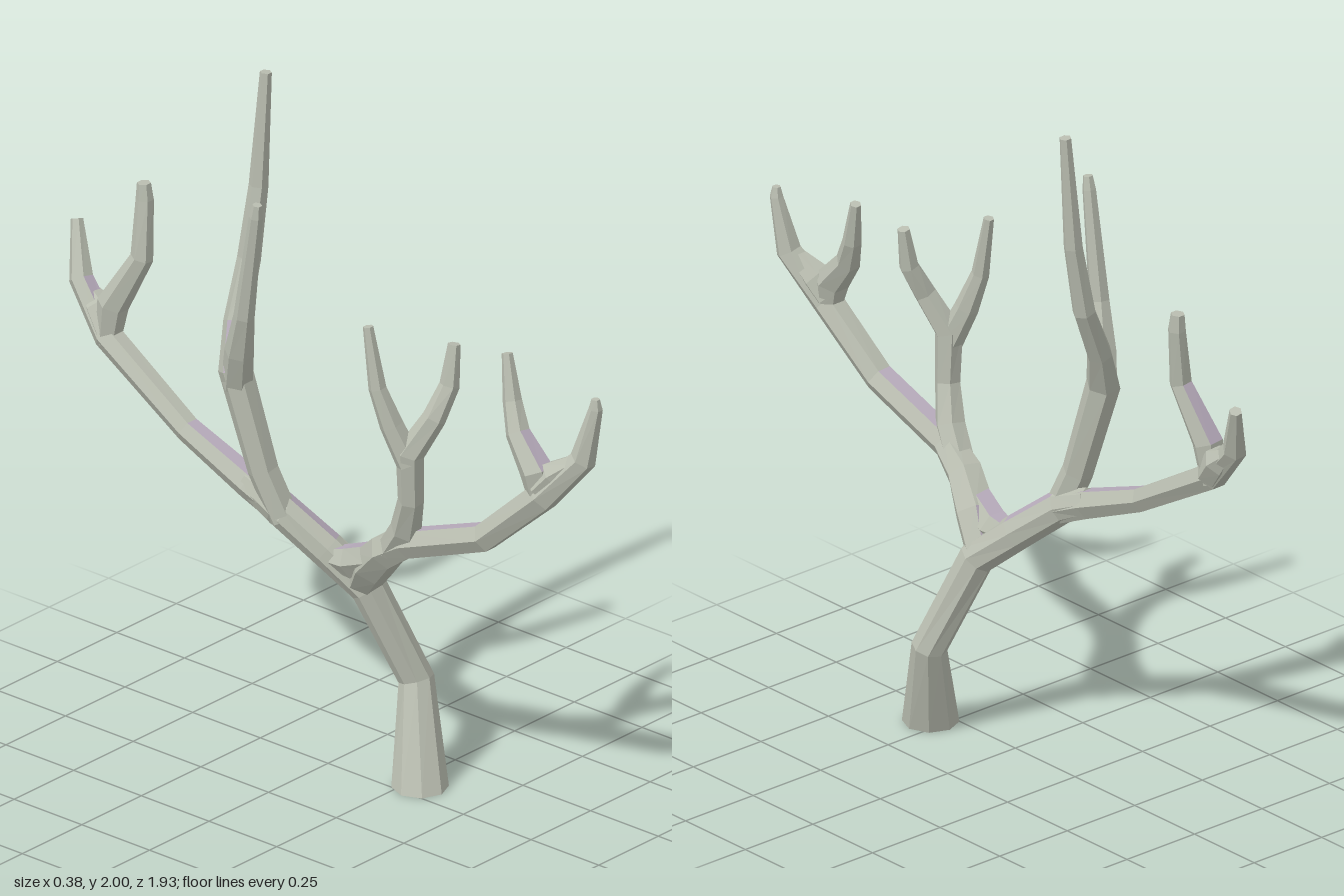
import * as THREE from 'three';

const V = (p) => new THREE.Vector3(p[0], p[1], p[2]);

// Tapered faceted limb through points [x, y, z, radius].
// tinted lists the segments whose top facet takes the second material.
function limb(name, points, materials, { sides = 6, tinted = [], ground = false } = {}) {
  const n = points.length;
  const rings = points.map((p, i) => {
    const t = V(points[Math.min(i + 1, n - 1)]).sub(V(p)).normalize()
      .add(V(p).sub(V(points[Math.max(i - 1, 0)])).normalize()).normalize();
    if (ground && i === 0) t.set(0, 1, 0);
    const u = new THREE.Vector3(1, 0, 0).addScaledVector(t, -t.x).normalize();
    const v = t.clone().cross(u);
    return Array.from({ length: sides }, (_, k) => {
      const a = (k / sides) * Math.PI * 2;
      return V(p).addScaledVector(u, Math.cos(a) * p[3]).addScaledVector(v, Math.sin(a) * p[3]);
    });
  });
  const plain = [], tint = [];
  for (let i = 0; i < n - 1; i++) {
    const quads = rings[i].map((a, k) => {
      const j = (k + 1) % sides;
      return [a, rings[i][j], rings[i + 1][j], rings[i + 1][k]];
    });
    const up = quads.map(([a, b, c, d]) => c.clone().sub(a).cross(d.clone().sub(b)).normalize().y);
    const top = up.indexOf(Math.max(...up));
    quads.forEach(([a, b, c, d], k) => {
      (tinted.includes(i) && k === top ? tint : plain).push(a, b, c, a, c, d);
    });
  }
  // end caps
  for (let k = 1; k < sides - 1; k++) {
    const e = rings[n - 1], s = rings[0];
    plain.push(e[0], e[k], e[k + 1]);
    if (ground) plain.push(s[0], s[k + 1], s[k]);
  }
  const geo = new THREE.BufferGeometry().setFromPoints([...plain, ...tint]);
  geo.addGroup(0, plain.length, 0);
  if (tint.length) geo.addGroup(plain.length, tint.length, 1);
  geo.computeVertexNormals();
  const mesh = new THREE.Mesh(geo, materials);
  mesh.name = name;
  return mesh;
}

export function createModel() {
  const bark = new THREE.MeshStandardMaterial({ color: 0xb9bdb0 });
  bark.name = 'paleBark';
  const mauve = new THREE.MeshStandardMaterial({ color: 0xb7abbb });
  mauve.name = 'mauveBark';
  const tree = new THREE.Group();
  tree.name = 'bareTree';
  const add = (name, points, options) => tree.add(limb(name, points, [bark, mauve], options));

  // trunk running on into the rear bough
  add('trunk', [
    [0.057, 0, 0.29, 0.08], [0.132, 0.28, 0.21, 0.051], [0.045, 0.56, 0.11, 0.053],
    [-0.005, 0.66, 0.0, 0.052], [-0.06, 0.77, -0.13, 0.05], [-0.065, 0.82, -0.24, 0.04],
  ], { sides: 8, ground: true, tinted: [3] });

  // rear bough: long reaching limb and its two tips
  add('rearLimb', [
    [-0.055, 0.75, -0.1, 0.045], [-0.065, 0.81, -0.23, 0.045], [-0.065, 0.905, -0.46, 0.038],
    [-0.05, 1.09, -0.77, 0.042], [-0.025, 1.22, -0.89, 0.036], [0.02, 1.37, -0.945, 0.018],
  ], { tinted: [1, 3] });
  add('rearLimbTwig', [
    [-0.05, 1.07, -0.77, 0.035], [-0.045, 1.19, -0.755, 0.046], [-0.02, 1.35, -0.67, 0.033],
    [0.0, 1.52, -0.677, 0.026], [0.0, 1.57, -0.68, 0.02],
  ], { tinted: [1] });
  add('rearCrotch', [[-0.045, 1.1, -0.77, 0.045], [-0.03, 1.16, -0.82, 0.045], [-0.02, 1.2, -0.87, 0.02]]);

  // rear bough: tall upright and its two tips
  add('tallUpright', [
    [-0.06, 0.74, -0.11, 0.045], [-0.085, 0.88, -0.165, 0.045], [-0.11, 1.17, -0.245, 0.05],
    [-0.06, 1.29, -0.285, 0.038], [0.015, 1.45, -0.305, 0.034], [0.055, 1.66, -0.305, 0.028],
    [0.08, 2.0, -0.3, 0.017],
  ], { tinted: [2] });
  add('tallUprightTwig', [
    [-0.11, 1.13, -0.24, 0.045], [-0.14, 1.25, -0.205, 0.042], [-0.165, 1.38, -0.165, 0.03],
    [-0.172, 1.7, -0.115, 0.02], [-0.172, 1.74, -0.11, 0.014],
  ]);

  // front bough
  add('frontBough', [
    [0.035, 0.58, 0.1, 0.05], [0.0, 0.665, 0.165, 0.062], [-0.035, 0.745, 0.25, 0.055],
    [-0.05, 0.8, 0.34, 0.045], [-0.045, 0.905, 0.62, 0.044], [-0.02, 1.08, 0.81, 0.046],
    [0.025, 1.21, 0.92, 0.038], [0.042, 1.37, 0.952, 0.02], [0.042, 1.4, 0.952, 0.012],
  ], { tinted: [0, 3] });
  add('frontBoughTwig', [
    [-0.02, 1.07, 0.8, 0.035], [-0.02, 1.15, 0.79, 0.05], [-0.01, 1.24, 0.71, 0.036],
    [0.01, 1.32, 0.672, 0.028], [0.025, 1.45, 0.64, 0.016],
  ], { tinted: [1] });
  add('frontCrotch', [[-0.02, 1.1, 0.8, 0.045], [-0.005, 1.15, 0.84, 0.045], [0.015, 1.2, 0.9, 0.025]]);
  add('mainCrotch', [[-0.005, 0.64, 0.02, 0.035], [0.0, 0.65, 0.09, 0.05], [-0.02, 0.7, 0.2, 0.05]], { tinted: [0, 1] });

  // inner front upright and its two tips
  add('innerUpright', [
    [-0.045, 0.76, 0.28, 0.045], [-0.065, 0.85, 0.345, 0.045], [-0.09, 0.96, 0.385, 0.037],
    [-0.1, 1.11, 0.39, 0.042], [-0.06, 1.22, 0.445, 0.034], [-0.015, 1.31, 0.462, 0.029],
    [0.005, 1.43, 0.462, 0.018],
  ]);
  add('innerUprightTwig', [
    [-0.1, 1.08, 0.39, 0.04], [-0.125, 1.19, 0.345, 0.035], [-0.145, 1.3, 0.31, 0.026],
    [-0.148, 1.48, 0.278, 0.015],
  ]);
  return tree;
}
